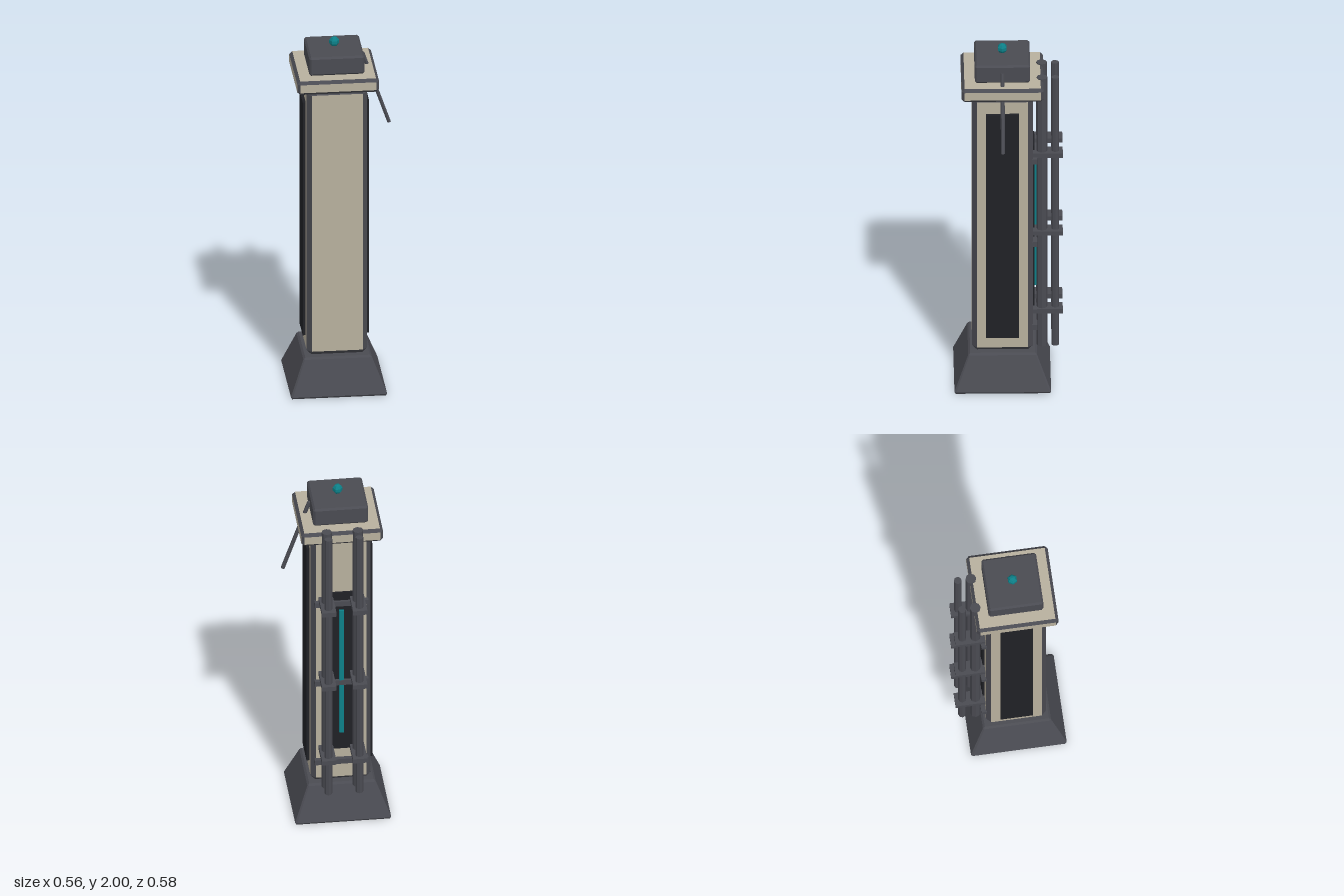
import * as THREE from 'three';

const mat = (color) => new THREE.MeshStandardMaterial({ color, flatShading: true });
const CX = -0.0225, CZ = 0.03; // axis of the tower

// Box with chamfered edges: flat faces are material group 0, chamfers group 1.
// topScale narrows the upper end.
function chamferBox(w, h, d, bevel, topScale = 1) {
  const half = [w / 2, h / 2, d / 2];
  const pos = [];
  const corner = (signs, axis) => {
    const p = half.map((v, i) => signs[i] * (i === axis ? v : v - bevel));
    const k = 1 + (topScale - 1) * (p[1] / h + 0.5);
    return new THREE.Vector3(p[0] * k, p[1], p[2] * k);
  };
  const addTri = (a, b, c) => {
    const n = b.clone().sub(a).cross(c.clone().sub(a));
    const out = n.dot(a.clone().add(b).add(c)) > 0;
    for (const p of out ? [a, b, c] : [a, c, b]) pos.push(p.x, p.y, p.z);
  };
  const addQuad = (a, b, c, e) => { addTri(a, b, c); addTri(a, c, e); };
  const signs = (i, si, j, sj, k, sk) => {
    const s = [0, 0, 0];
    s[i] = si; s[j] = sj; s[k] = sk;
    return s;
  };
  // faces
  for (let a = 0; a < 3; a++) for (const s of [-1, 1]) {
    const b = (a + 1) % 3, c = (a + 2) % 3;
    const q = [[-1, -1], [1, -1], [1, 1], [-1, 1]].map(([u, v]) => corner(signs(a, s, b, u, c, v), a));
    addQuad(...q);
  }
  const faceCount = pos.length / 3;
  // edge chamfers
  for (let a = 0; a < 3; a++) for (const s of [-1, 1]) for (const t of [-1, 1]) {
    const b = (a + 1) % 3, c = (a + 2) % 3;
    const lo = signs(a, s, b, t, c, -1), hi = signs(a, s, b, t, c, 1);
    addQuad(corner(lo, a), corner(hi, a), corner(hi, b), corner(lo, b));
  }
  // corner triangles
  for (const x of [-1, 1]) for (const y of [-1, 1]) for (const z of [-1, 1]) {
    const s = [x, y, z];
    addTri(corner(s, 0), corner(s, 1), corner(s, 2));
  }
  const g = new THREE.BufferGeometry();
  g.setAttribute('position', new THREE.Float32BufferAttribute(pos, 3));
  g.addGroup(0, faceCount, 0);
  g.addGroup(faceCount, pos.length / 3 - faceCount, 1);
  g.computeVertexNormals();
  return g;
}

export function createModel() {
  const model = new THREE.Group();
  const stone = mat(0xb8b09e), metal = mat(0x4a4b52), black = mat(0x202126), teal = mat(0x0d8088);

  const add = (name, geometry, material, x, y, z) => {
    const mesh = new THREE.Mesh(geometry, material);
    mesh.name = name;
    mesh.position.set(x, y, z);
    model.add(mesh);
    return mesh;
  };

  // main stack
  add('base', chamferBox(0.525, 0.206, 0.525, 0.01, 0.686), [metal, metal], CX, 0.105, CZ);
  add('column', chamferBox(0.324, 1.545, 0.324, 0.025), [stone, metal], CX, 0.982, CZ);
  add('capSlab', chamferBox(0.44, 0.078, 0.44, 0.016), [stone, metal], CX, 1.796, CZ);
  add('topBlock', chamferBox(0.296, 0.106, 0.296, 0.01), [metal, metal], CX, 1.89, CZ);
  add('beacon', new THREE.SphereGeometry(0.028, 6, 5), teal, CX, 1.972, CZ);

  // recessed-looking side panels
  for (const s of [-1, 1]) {
    add('sidePanel', new THREE.BoxGeometry(0.03, 1.36, 0.175), black, CX + s * 0.163, 0.98, CZ);
  }

  // slanted antenna on the left side
  const from = new THREE.Vector3(0.13, 1.9, CZ), to = new THREE.Vector3(0.273, 1.488, CZ);
  const dir = to.clone().sub(from);
  const antenna = add('antenna', new THREE.CylinderGeometry(0.011, 0.011, dir.length(), 6), metal, 0, 0, 0);
  antenna.position.copy(from).lerp(to, 0.5);
  antenna.quaternion.setFromUnitVectors(new THREE.Vector3(0, 1, 0), dir.normalize());

  // back panel with its light strip and crossbars
  add('backPanel', new THREE.BoxGeometry(0.16, 1.0, 0.025), black, CX, 0.92, -0.13);
  add('lightStrip', new THREE.BoxGeometry(0.025, 0.78, 0.02), teal, CX, 0.92, -0.146);
  for (const y of [0.345, 0.85, 1.355]) {
    add('crossbar', new THREE.BoxGeometry(0.29, 0.03, 0.03), metal, CX, y, -0.142);
  }

  // pairs of vertical pipes held by brackets
  for (const s of [-1, 1]) {
    const x = CX + s * 0.0835;
    add('thickPipe', new THREE.CylinderGeometry(0.029, 0.029, 1.63, 8), metal, x, 1.025, -0.182);
    add('thinPipe', new THREE.CylinderGeometry(0.021, 0.021, 1.63, 8), metal, x, 1.025, -0.253);
    for (const y of [0.43, 0.905, 1.38]) {
      add('pipeBracket', new THREE.BoxGeometry(0.077, 0.026, 0.163), metal, x, y, -0.2115);
    }
  }
  return model;
}
